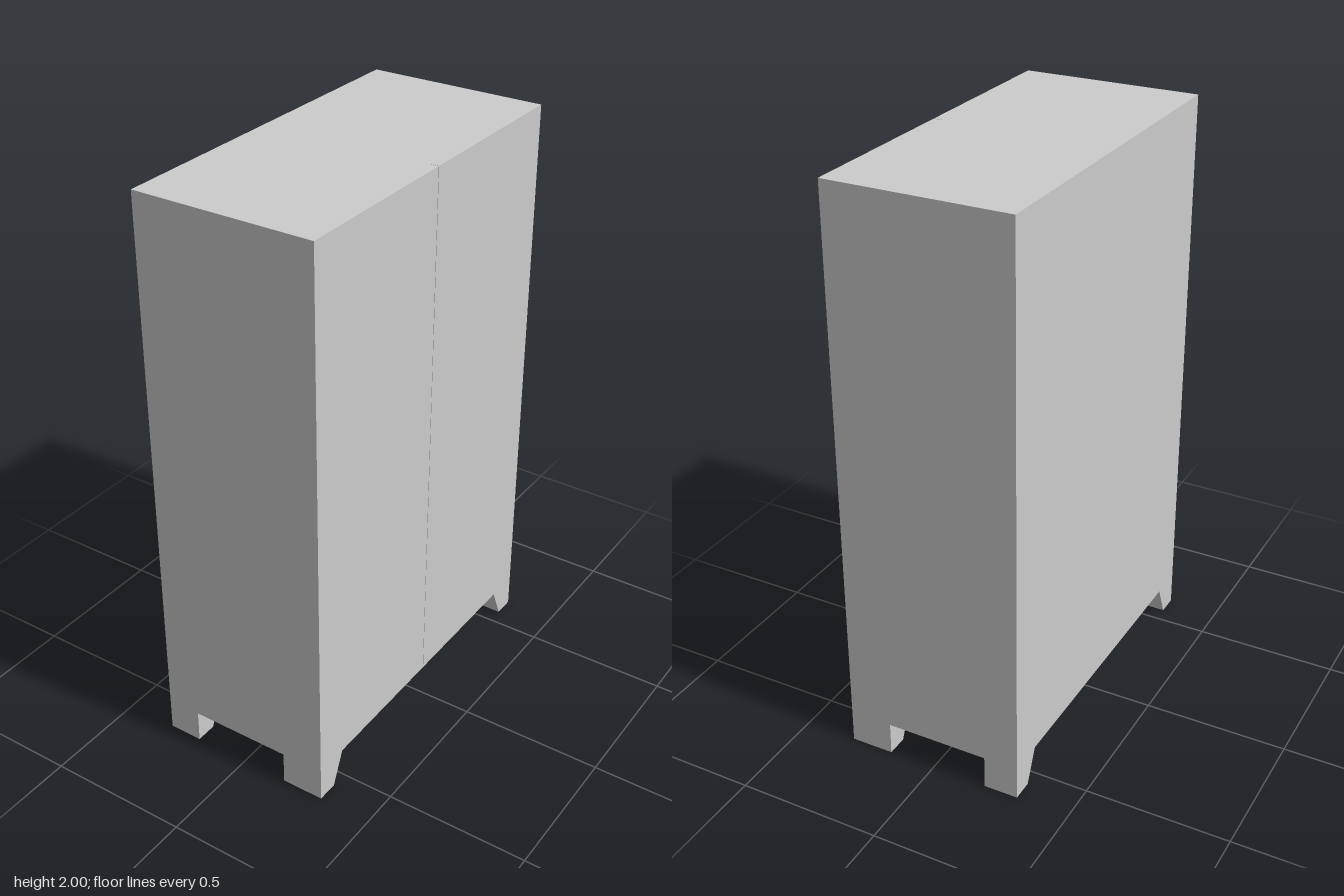
import * as THREE from 'three';

const HEIGHT = 2, HALF_X = 0.315, HALF_Z = 0.635;
const FLOOR = 0.116;       // underside of the carcass
const DOOR = 0.03;         // door thickness, doors face +x
const LEG = 0.12;          // leg width along x
const FOOT_Z = 0.56, KNEE_Z = 0.51; // inner edge of the leg at the ground and at the top
const SEAM = 0.001;        // half the gap between the doors

const material = new THREE.MeshStandardMaterial({ color: 0xcccccc, flatShading: true });

function add(group, name, geometry) {
  const mesh = new THREE.Mesh(geometry, material);
  mesh.name = name;
  group.add(mesh);
  return mesh;
}

// Extrudes a (z, y) outline along x, from xMin to xMax
function slab(points, xMin, xMax) {
  const shape = new THREE.Shape(points.map(([z, y]) => new THREE.Vector2(z, y)));
  const geometry = new THREE.ExtrudeGeometry(shape, { depth: xMax - xMin, bevelEnabled: false });
  return geometry.rotateY(-Math.PI / 2).translate(xMax, 0, 0);
}

export function createModel() {
  const group = new THREE.Group();
  group.name = 'cabinet';
  const doorBack = HALF_X - DOOR;

  // Carcass behind the doors
  const carcass = add(group, 'carcass',
    new THREE.BoxGeometry(HALF_X + doorBack, HEIGHT - FLOOR, HALF_Z * 2));
  carcass.position.set(-DOOR / 2, (HEIGHT + FLOOR) / 2, 0);

  for (const s of [1, -1]) {
    const side = s > 0 ? 'Front' : 'Back';

    // Tapered legs at both ends of the carcass
    const leg = [[s * HALF_Z, 0], [s * HALF_Z, FLOOR], [s * KNEE_Z, FLOOR], [s * FOOT_Z, 0]];
    add(group, 'leg' + side + 'Right', slab(leg, -HALF_X, -HALF_X + LEG));
    add(group, 'leg' + side + 'Left', slab(leg, doorBack - LEG, doorBack));

    // Door leaf, its outer corner running down over the leg
    const door = [
      [s * SEAM, FLOOR], [s * KNEE_Z, FLOOR], [s * FOOT_Z, 0],
      [s * HALF_Z, 0], [s * HALF_Z, HEIGHT], [s * SEAM, HEIGHT],
    ];
    add(group, 'door' + side, slab(door, doorBack, HALF_X));
  }
  return group;
}
